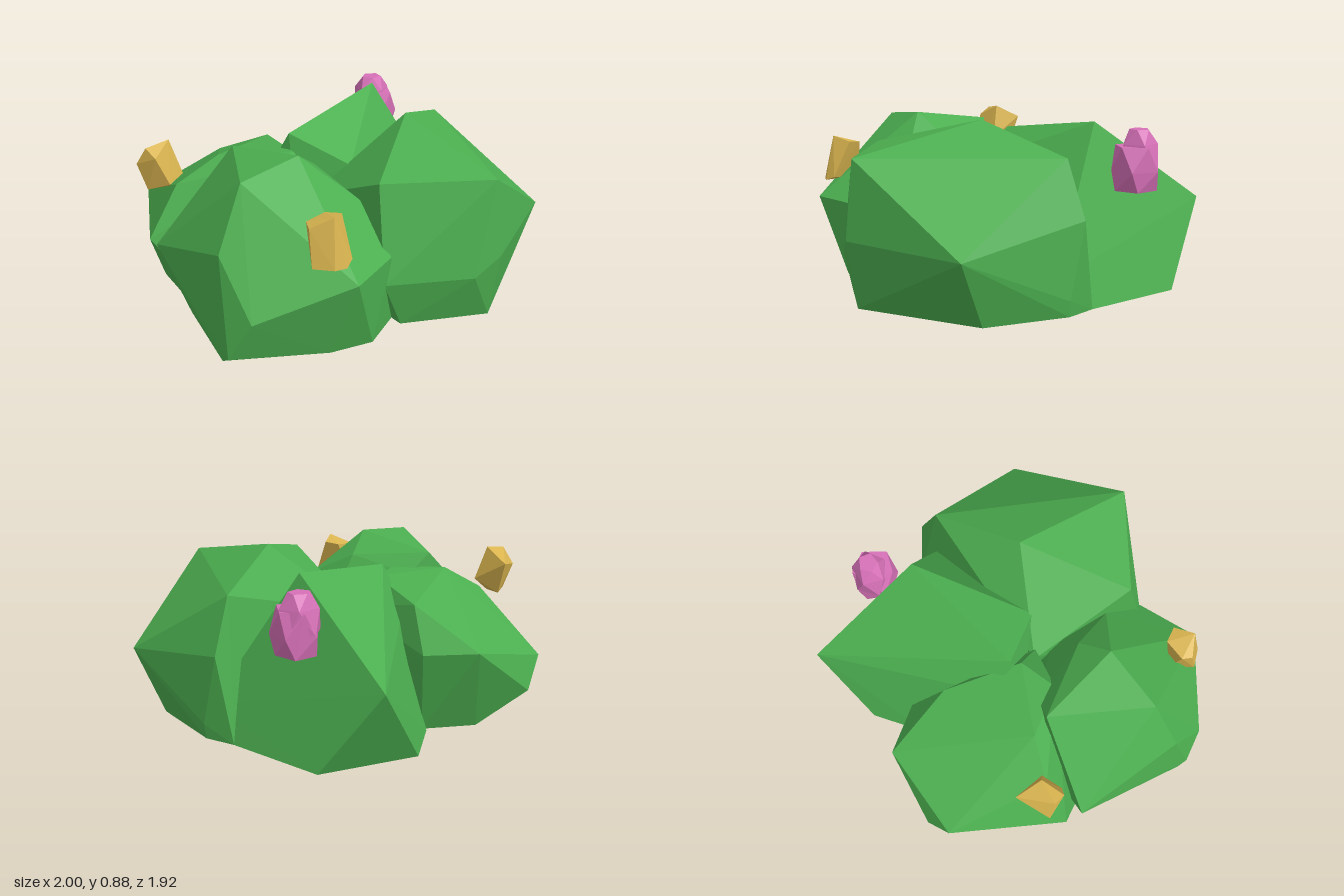
import * as THREE from 'three';
import { ConvexGeometry } from 'three/addons/geometries/ConvexGeometry.js';

const mat = (name, color) => {
  const m = new THREE.MeshStandardMaterial({ color });
  m.name = name;
  return m;
};

// Faceted solid wrapped around a few corner points
function hull(name, points, material) {
  const geo = new ConvexGeometry(points.map((p) => new THREE.Vector3(...p)));
  const mesh = new THREE.Mesh(geo, material);
  mesh.name = name;
  return mesh;
}

// Faceted bud made of stacked five-sided rings: [height, radiusX, radiusZ, turn]
function bud(name, [x, y, z], rings, material) {
  const points = [];
  for (const [h, rx, rz, turn] of rings) {
    for (let i = 0; i < 5; i++) {
      const a = turn + (i / 5) * Math.PI * 2;
      points.push([x + Math.cos(a) * rx, y + h, z + Math.sin(a) * rz]);
    }
  }
  return hull(name, points, material);
}

export function createModel() {
  const leaf = mat('leaf green', 0x4caf50);
  const gold = mat('gold', 0xd9b44f);
  const pink = mat('pink', 0xd771b8);
  const bush = new THREE.Group();
  bush.name = 'bush';

  // Four leafy lobes, overlapping in the middle
  bush.add(
    hull('frontRightLobe', [
      [0.32, 0.875, 0.2], [-0.07, 0.73, 0.66], [0.46, 0.73, 0.85], [0.69, 0.73, -0.13],
      [1.0, 0.34, 0.44], [0.79, 0.45, -0.19], [0.48, 0.34, 0.89], [0.34, 0.25, 0.89],
      [-0.09, 0.25, 0.77], [-0.16, 0.47, 0.1], [0.02, 0, 0.74], [0.46, 0, 0.84],
      [0.88, 0, 0.32], [0.83, 0.08, -0.11], [0.82, 0, -0.11], [0.73, 0, -0.25],
      [-0.1, 0, 0.1],
    ], leaf),
    hull('backRightLobe', [
      [0.41, 0.86, -0.35], [-0.22, 0.76, -0.06], [0.29, 0.43, -0.96], [0.03, 0.62, 0.16],
      [-0.29, 0.55, -0.16], [0.52, 0, -0.74], [0, 0, -0.79], [0.73, 0, -0.25],
      [0.765, 0.16, -0.06], [-0.2, 0, -0.55], [-0.22, 0, 0.1], [0.5, 0, 0.1],
    ], leaf),
    hull('backLeftLobe', [
      [-0.6, 0.7, -0.08], [-0.2, 0.63, -0.41], [-0.36, 0.45, -0.76], [-0.83, 0.33, -0.63],
      [-0.71, 0.18, -0.71], [-0.99, 0.32, -0.05], [-0.82, 0.57, -0.1], [-0.15, 0.42, -0.58],
      [-0.22, 0.68, 0], [-0.4, 0.69, 0.11], [-0.12, 0.5, 0.12], [-0.68, 0.42, 0.07],
      [-0.46, 0, -0.61], [-0.19, 0, -0.52], [-0.87, 0, -0.24], [-0.85, 0, 0.02],
      [-0.75, 0, 0.2], [-0.1, 0, 0.12],
    ], leaf),
    hull('frontLeftLobe', [
      [-0.37, 0.835, 0.41], [-0.7, 0.795, 0.51], [-0.55, 0.77, 0], [-0.43, 0.66, 0.01],
      [-0.98, 0.33, 0.04], [-0.85, 0.5, 0.6], [-0.78, 0.23, 0.81], [-0.32, 0.4, 0.96],
      [-0.87, 0.03, 0.73], [-0.05, 0.39, 0.76], [-0.1, 0.6, 0.52], [-0.24, 0.73, 0.3],
      [-0.87, 0, 0.2], [-0.88, 0, 0.68], [-0.4, 0, 0.83], [-0.18, 0, 0.83],
      [0.02, 0, 0.66], [-0.05, 0.4, 0.25], [-0.05, 0, 0.1], [-0.5, 0, -0.02],
    ], leaf),
  );

  // Gold buds: irregular tilted blocks
  bush.add(
    hull('sideGoldBud', [
      [-1.0, 0.69, -0.16], [-0.96, 0.78, -0.12], [-0.855, 0.73, -0.28], [-0.835, 0.8, -0.14],
      [-0.93, 0.74, -0.06], [-0.78, 0.62, -0.11], [-0.87, 0.6, -0.04], [-0.85, 0.555, -0.13],
      [-0.96, 0.555, -0.13], [-0.86, 0.555, -0.22],
    ], gold),
    hull('frontGoldBud', [
      [-0.5, 0.66, 0.82], [-0.49, 0.67, 0.765], [-0.38, 0.68, 0.73], [-0.4, 0.715, 0.87],
      [-0.325, 0.69, 0.79], [-0.315, 0.5, 0.88], [-0.36, 0.48, 0.92], [-0.42, 0.48, 0.92],
      [-0.505, 0.48, 0.86], [-0.45, 0.48, 0.74],
    ], gold),
  );

  // Pink blossom: a faceted body with a crown
  const blossom = new THREE.Group();
  blossom.name = 'pinkBlossom';
  blossom.add(
    bud('blossomBody', [0.52, 0.65, -0.53],
      [[-0.12, 0.1, 0.11, 0.2], [-0.02, 0.125, 0.12, 0.5], [0.1, 0.1, 0.11, 1.0]], pink),
    bud('blossomCrown', [0.51, 0.74, -0.55],
      [[-0.1, 0.11, 0.1, 0.6], [0.02, 0.1, 0.09, 0.1], [0.09, 0.055, 0.05, 0.6]], pink),
  );
  bush.add(blossom);
  return bush;
}
